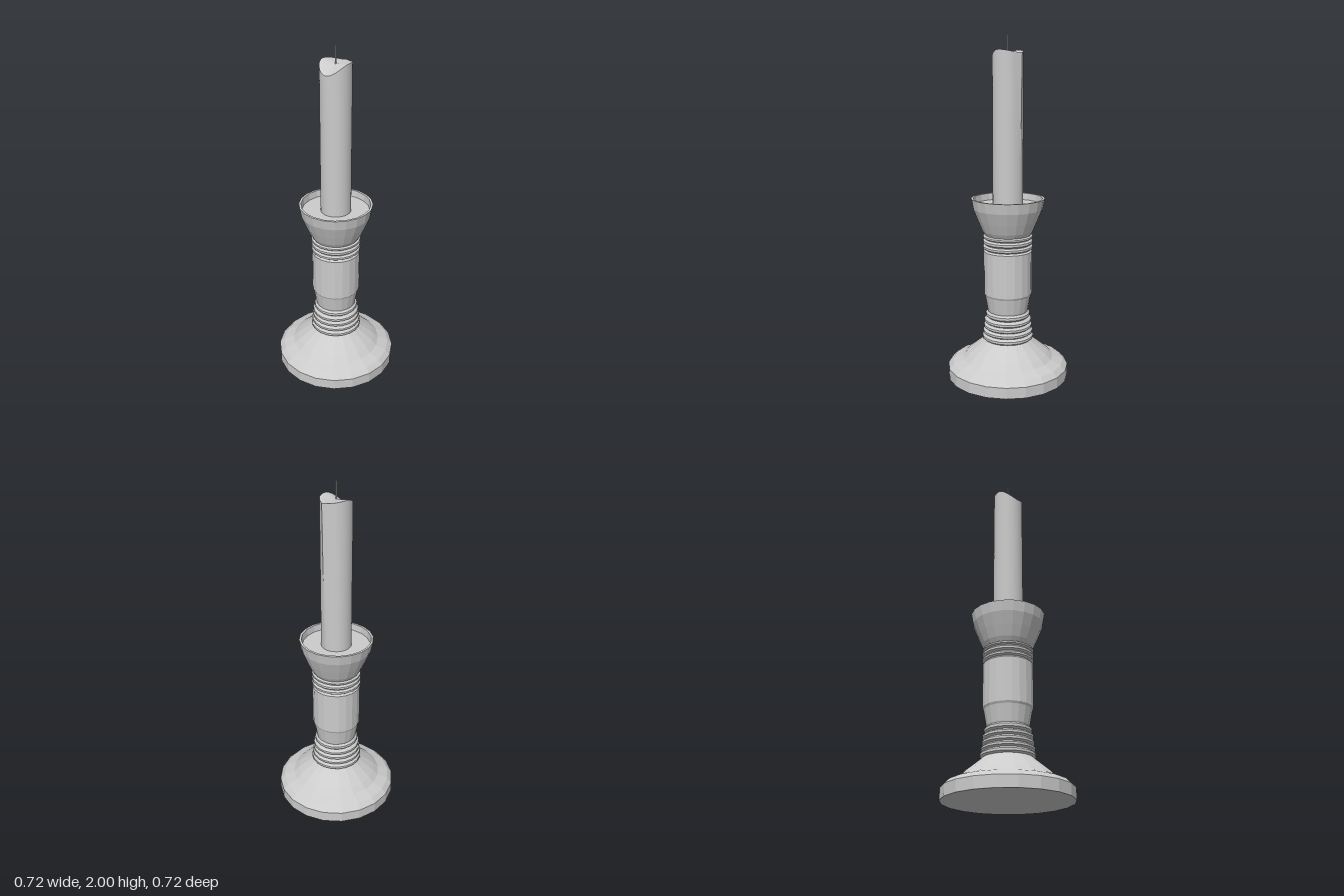
import * as THREE from 'three';
import { toCreasedNormals } from 'three/addons/utils/BufferGeometryUtils.js';

const points = (list) => list.map(([r, y]) => new THREE.Vector2(r, y));

export function createModel() {
  const group = new THREE.Group();
  const faceted = new THREE.MeshStandardMaterial({ color: 0xcccccc, flatShading: true });
  const smooth = new THREE.MeshStandardMaterial({ color: 0xcccccc });

  const add = (name, geometry, material) => {
    const mesh = new THREE.Mesh(geometry, material);
    mesh.name = name;
    group.add(mesh);
    return mesh;
  };
  const turned = (name, profile) => add(name, new THREE.LatheGeometry(points(profile), 20), faceted);

  // A rounded bead between two heights, with grooves on both sides
  const bead = (y0, y1, r) => [
    [r - 0.012, y0], [r, y0 + (y1 - y0) * 0.3], [r, y0 + (y1 - y0) * 0.7], [r - 0.012, y1],
  ];

  // Flared foot
  turned('foot', [
    [0, 0], [0.36, 0], [0.36, 0.065], [0.332, 0.093], [0.27, 0.118],
    [0.24, 0.147], [0.165, 0.208], [0.14, 0.23],
  ]);

  // Stem with beads below and above the plain shaft
  turned('stem', [
    ...bead(0.228, 0.262, 0.152),
    ...bead(0.264, 0.294, 0.148),
    ...bead(0.296, 0.328, 0.143),
    ...bead(0.33, 0.362, 0.14),
    ...bead(0.364, 0.402, 0.131),
    [0.121, 0.41], [0.137, 0.5], [0.143, 0.512], [0.143, 0.768], [0.135, 0.775],
    ...bead(0.778, 0.807, 0.146),
    ...bead(0.809, 0.841, 0.146),
    ...bead(0.843, 0.866, 0.146),
  ]);

  // Cup with a shallow recessed floor
  turned('cup', [
    [0.134, 0.864], [0.15, 0.89], [0.176, 0.95], [0.204, 1.02],
    [0.215, 1.08], [0.202, 1.08], [0.197, 1.04], [0, 1.04],
  ]);

  // Candle: a lathe with an uneven rim and a drip ridge along +x
  const R = 0.088, bottom = 1.03, top = 1.92;
  const candle = new THREE.LatheGeometry(
    points([[R, bottom], [R, 1.3], [R, 1.6], [R, top], [0, 1.905]]), 40);
  const pos = candle.attributes.position;
  for (let i = 0; i < pos.count; i++) {
    const x = pos.getX(i), y = pos.getY(i), z = pos.getZ(i);
    if (Math.hypot(x, z) < 0.01) continue;
    const angle = Math.atan2(z, x), c = Math.cos(angle);
    const reach = R + 0.012 * Math.max(0, y - bottom) / (top - bottom);
    const half = Math.acos(R / reach);
    const r = R / Math.cos(Math.max(0, half - Math.abs(angle)));
    const dip = y > 1.91 ? (c < 0 ? 0.06 : 0.016) * c * c : 0;
    pos.setXYZ(i, r * c, y - dip, r * Math.sin(angle));
  }
  add('candle', toCreasedNormals(candle, 0.6), smooth);

  // Wick
  add('wick', new THREE.CylinderGeometry(0.004, 0.004, 0.1, 8), smooth).position.y = 1.95;

  return group;
}
